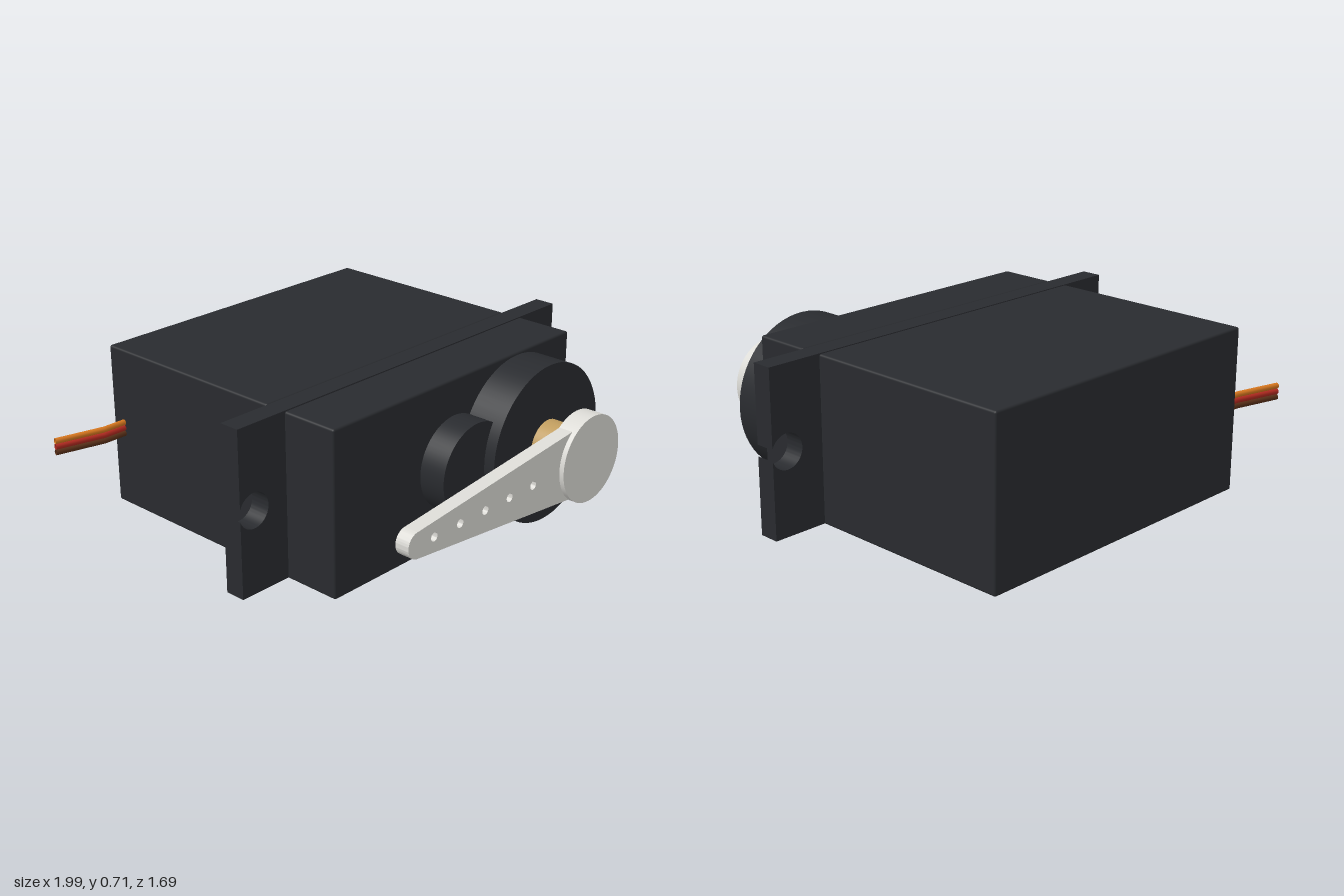
import * as THREE from 'three';
import { RoundedBoxGeometry } from 'three/addons/geometries/RoundedBoxGeometry.js';
import { toCreasedNormals } from 'three/addons/utils/BufferGeometryUtils.js';

const CY = 0.36;      // height of the shaft and of the body's middle
const SHAFT_X = 0.4;  // output shaft position

const paint = (color) => new THREE.MeshStandardMaterial({ color });

export function createModel() {
  const group = new THREE.Group();
  const black = paint(0x292b2f);
  const ivory = paint(0xdcdbd6);
  const brass = paint(0xbf9c5e);

  const add = (name, geometry, material, x = 0, y = 0, z = 0) => {
    const mesh = new THREE.Mesh(geometry, material);
    mesh.name = name;
    mesh.position.set(x, y, z);
    group.add(mesh);
    return mesh;
  };

  // Rounded box between two z values
  const block = (name, z0, z1) =>
    add(name, new RoundedBoxGeometry(1.43, 0.71, z1 - z0, 3, 0.01), black, 0.035, CY, (z0 + z1) / 2);

  // Disc along z between two z values
  const disc = (name, r, x, z0, z1, material) =>
    add(name, new THREE.CylinderGeometry(r, r, z1 - z0, 64).rotateX(Math.PI / 2), material, x, CY, (z0 + z1) / 2);

  const extrude = (shape, depth) =>
    toCreasedNormals(new THREE.ExtrudeGeometry(shape, { depth, bevelEnabled: false, curveSegments: 32 }), 0.6);

  // Case
  block('rearCase', -0.845, 0.098);
  block('frontCase', 0.19, 0.45);

  // Mounting flange, with screw holes that break through its ends
  const w = 0.953, h = 0.355, holeX = 0.882, holeR = 0.075;
  const gap = Math.acos((w - holeX) / holeR);
  const flange = new THREE.Shape();
  flange.moveTo(-w, -h);
  flange.lineTo(w, -h);
  flange.absarc(holeX, 0, holeR, -gap, gap - 2 * Math.PI, true);
  flange.lineTo(w, h);
  flange.lineTo(-w, h);
  flange.absarc(-holeX, 0, holeR, Math.PI - gap, gap - Math.PI, true);
  flange.closePath();
  add('mountingFlange', extrude(flange, 0.09), black, 0.037, CY, 0.099);

  // Gear housings and output shaft
  disc('mainGearHousing', 0.345, SHAFT_X, 0.44, 0.62, black);
  disc('smallGearHousing', 0.2, 0.005, 0.44, 0.57, black);
  disc('outputShaft', 0.105, SHAFT_X, 0.61, 0.77, brass);

  // Horn: round hub and tapered arm with a row of holes
  disc('hornHub', 0.187, SHAFT_X, 0.76, 0.845, ivory);
  const arm = new THREE.Shape();
  arm.moveTo(-0.632, -0.055);
  arm.lineTo(0.3, -0.15);
  arm.lineTo(0.3, 0.15);
  arm.lineTo(-0.632, 0.055);
  arm.absarc(-0.632, 0, 0.055, Math.PI / 2, Math.PI * 1.5, false);
  for (let i = 0; i < 5; i++) {
    const hole = new THREE.Path();
    hole.absarc(-0.545 + i * 0.147, 0, 0.018, 0, Math.PI * 2, true);
    arm.holes.push(hole);
  }
  add('hornArm', extrude(arm, 0.063), ivory, 0, CY, 0.761);

  // Three-wire lead leaving the right side near the back
  [0xd9781f, 0xb32a20, 0x5a3018].forEach((color, i) => {
    const path = new THREE.CurvePath();
    const points = [[-0.66, -0.78], [-0.785, -0.78], [-0.998, -0.833]]
      .map(([x, z]) => new THREE.Vector3(x, 0, z));
    path.add(new THREE.LineCurve3(points[0], points[1]));
    path.add(new THREE.LineCurve3(points[1], points[2]));
    const material = paint(color);
    material.side = THREE.DoubleSide;
    add(['orangeWire', 'redWire', 'brownWire'][i],
      new THREE.TubeGeometry(path, 24, 0.0125, 10), material, 0, CY + 0.025 * (1 - i));
  });

  // Label plate on the underside
  add('labelPlate', new THREE.BoxGeometry(1, 0.01, 0.56), paint(0xbbbbbb), 0.02, 0.005, -0.37);

  return group;
}
